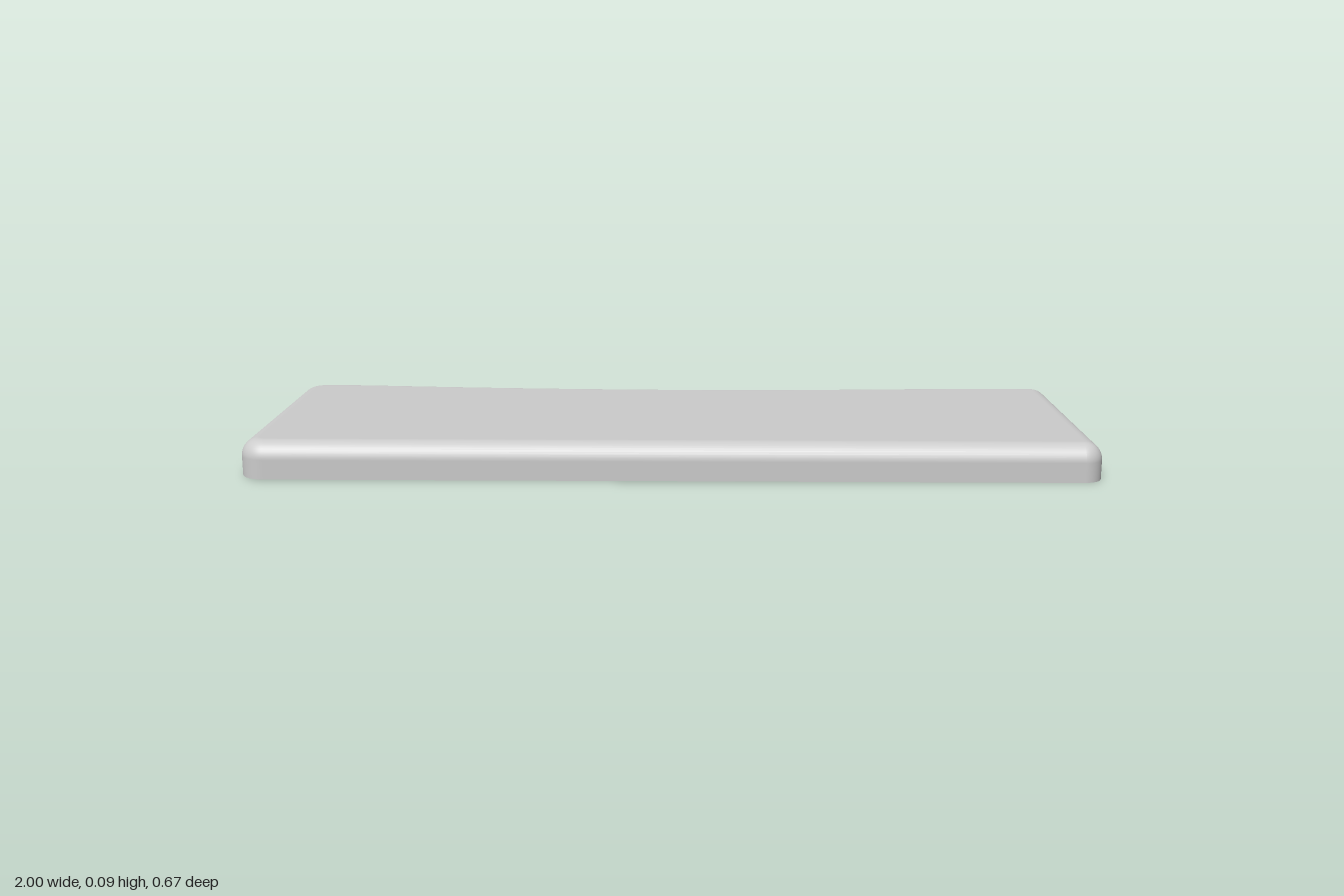
import * as THREE from 'three';

const HEIGHT = 0.088, ROUND = 0.042, STEPS = 10;

// Plan outline, counter-clockwise from above, as (x, -z)
function planOutline() {
  const q = Math.PI / 2;
  const back = [[0.8, 0.315], [0.6, 0.306], [0.4, 0.296], [0.2, 0.291], [0, 0.29], [-0.2, 0.295],
    [-0.4, 0.304], [-0.6, 0.317], [-0.8, 0.333], [-0.87, 0.337], [-0.94, 0.337]];
  const shape = new THREE.Shape();
  shape.moveTo(-0.94, -0.337);
  shape.absarc(0.955, -0.292, 0.045, -q, 0, false);
  shape.absarc(0.955, 0.27, 0.045, 0, q, false);
  shape.splineThru(back.map(([x, y]) => new THREE.Vector2(x, y)));
  shape.absarc(-0.94, 0.277, 0.06, q, 2 * q, false);
  shape.absarc(-0.94, -0.277, 0.06, 2 * q, 3 * q, false);
  const pts = shape.getPoints(12);
  return pts.filter((p, i) => p.distanceTo(pts[(i + 1) % pts.length]) > 1e-4);
}

// Flat face filling an outline at a given height
function cap(points, y, faceUp, material) {
  const geometry = new THREE.ShapeGeometry(new THREE.Shape(points));
  geometry.rotateX(-Math.PI / 2);
  if (!faceUp) {
    geometry.index.array.reverse();
    geometry.attributes.normal.array.forEach((v, i, a) => { a[i] = -v; });
  }
  geometry.translate(0, y, 0);
  return new THREE.Mesh(geometry, material);
}

export function createModel() {
  const group = new THREE.Group();
  group.name = 'curvedRest';
  const material = new THREE.MeshStandardMaterial({ color: 0xcccccc });
  const outline = planOutline(), n = outline.length;

  // Outward direction at each outline point
  const outward = outline.map((p, i) => {
    const a = p.clone().sub(outline[(i + n - 1) % n]).normalize();
    const b = outline[(i + 1) % n].clone().sub(p).normalize();
    const t = a.add(b).normalize();
    return new THREE.Vector2(t.y, -t.x);
  });
  const inset = d => outline.map((p, i) => p.clone().addScaledVector(outward[i], -d));

  // Wall: a straight foot, then a quarter-round up to the top
  const rings = [{ y: 0, d: 0, a: 0 }];
  for (let s = 0; s <= STEPS; s++) {
    const a = s / STEPS * Math.PI / 2;
    rings.push({ y: HEIGHT - ROUND + ROUND * Math.sin(a), d: ROUND * (1 - Math.cos(a)), a });
  }
  const position = [], normal = [], index = [];
  rings.forEach(({ y, d, a }, r) => inset(d).forEach((p, i) => {
    position.push(p.x, y, -p.y);
    normal.push(outward[i].x * Math.cos(a), Math.sin(a), -outward[i].y * Math.cos(a));
    if (r === 0) return;
    const j = (i + 1) % n, lo = (r - 1) * n, hi = r * n;
    index.push(lo + i, lo + j, hi + j, lo + i, hi + j, hi + i);
  }));
  const wallGeometry = new THREE.BufferGeometry();
  wallGeometry.setAttribute('position', new THREE.Float32BufferAttribute(position, 3));
  wallGeometry.setAttribute('normal', new THREE.Float32BufferAttribute(normal, 3));
  wallGeometry.setIndex(index);
  const wall = new THREE.Mesh(wallGeometry, material);
  wall.name = 'roundedWall';

  // Flat top and underside
  const top = cap(inset(ROUND), HEIGHT, true, material);
  top.name = 'topSurface';
  const underside = cap(outline, 0, false, material);
  underside.name = 'underside';

  group.add(wall, top, underside);
  return group;
}
